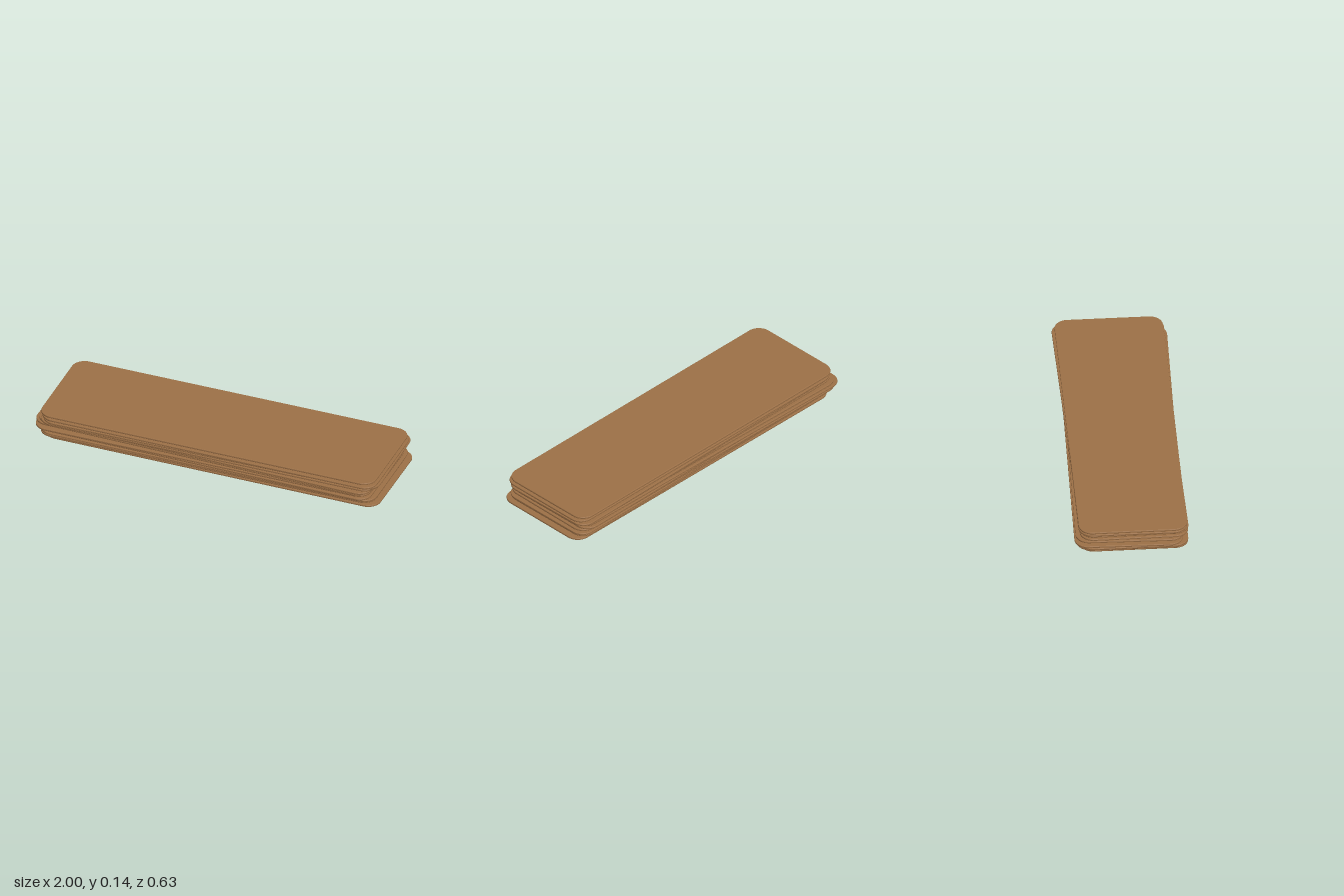
import * as THREE from 'three';

export function createModel() {
  const group = new THREE.Group();
  group.name = 'plankStack';
  const wood = new THREE.MeshStandardMaterial({ color: 0x9c7046 });
  wood.name = 'brown wood';

  // One thin board: a rounded rectangle with softened edges
  const length = 1.932, width = 0.584, thickness = 0.0115, corner = 0.07, bevel = 0.003;
  const a = length / 2 - bevel, b = width / 2 - bevel, r = corner;
  const outline = new THREE.Shape();
  outline.moveTo(-a + r, -b);
  outline.lineTo(a - r, -b);
  outline.absarc(a - r, -b + r, r, -Math.PI / 2, 0);
  outline.lineTo(a, b - r);
  outline.absarc(a - r, b - r, r, 0, Math.PI / 2);
  outline.lineTo(-a + r, b);
  outline.absarc(-a + r, b - r, r, Math.PI / 2, Math.PI);
  outline.lineTo(-a, -b + r);
  outline.absarc(-a + r, -b + r, r, Math.PI, Math.PI * 1.5);
  const board = new THREE.ExtrudeGeometry(outline, {
    depth: thickness - 2 * bevel, bevelEnabled: true, bevelSize: bevel,
    bevelThickness: bevel, bevelSegments: 2, curveSegments: 8,
  });
  board.rotateX(-Math.PI / 2);
  board.translate(0, bevel, 0);

  // Boards from bottom to top: base height, x shift, z shift, turn about y
  const layers = [
    [0.0, 0.03, 0.006, -0.006],
    [0.0131, 0.0, 0.006, 0.004],
    [0.0215, 0.004, 0.006, 0.002],
    [0.0325, -0.018, 0.004, -0.014],
    [0.0445, -0.03, 0.004, 0.004],
    [0.0585, -0.033, -0.004, -0.02],
    [0.0745, -0.012, 0.005, -0.022],
    [0.0845, 0.0, 0.004, 0.006],
    [0.0945, 0.015, 0.0, 0.013],
    [0.1065, 0.008, 0.006, -0.004],
    [0.128, 0.0, 0.003, 0.0],
  ];
  layers.forEach(([y, x, z, turn], i) => {
    const plank = new THREE.Mesh(board, wood);
    plank.name = `plank${i + 1}`;
    plank.position.set(x, y, z);
    plank.rotation.y = turn;
    group.add(plank);
  });
  return group;
}
